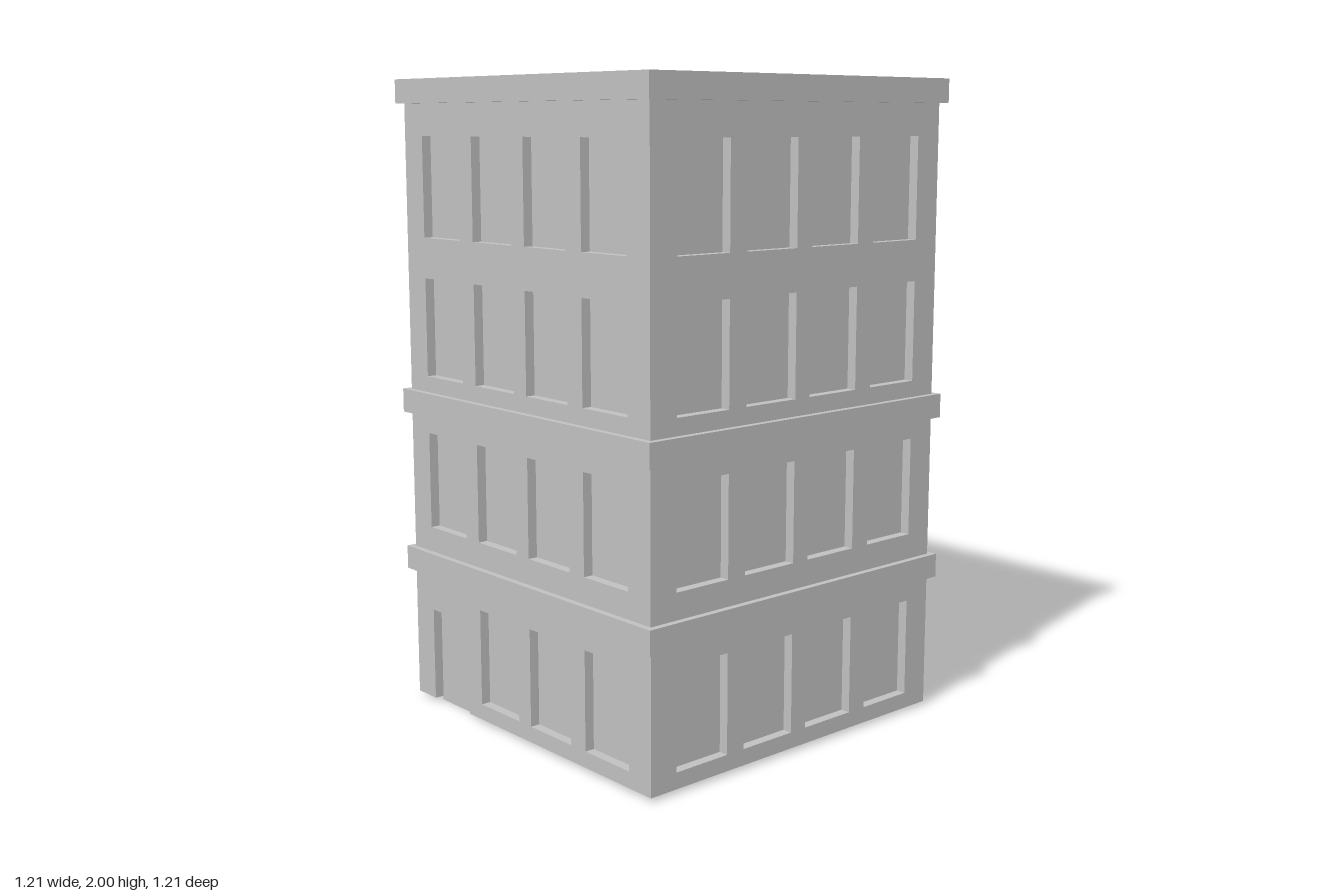
import * as THREE from 'three';

const HALF = 0.585;        // outer wall face
const RECESS = 0.031;      // depth of the window openings
const CORE = HALF - RECESS;
const LEDGE = 0.605;
const BASE = 0.013;        // underside of the walls
const ROOF = 1.957;

const columns = [[-0.49, -0.294], [-0.227, -0.03], [0.03, 0.227], [0.294, 0.49]];
const rows = [[0.063, 0.37], [0.587, 0.894], [1.077, 1.387], [1.514, 1.827]];
const door = { left: -0.49, right: -0.294, top: 0.312 };

function polygon(Type, points) {
  return new Type(points.map(([x, y]) => new THREE.Vector2(x, y)));
}

function rectangle(Type, x0, x1, y0, y1) {
  return polygon(Type, [[x0, y0], [x1, y0], [x1, y1], [x0, y1]]);
}

// Wall slab with window openings; the door opening runs through the bottom edge
function wallGeometry(half, hasDoor) {
  const outline = [[-half, BASE]];
  if (hasDoor) {
    outline.push([door.left, BASE], [door.left, door.top], [door.right, door.top], [door.right, BASE]);
  }
  outline.push([half, BASE], [half, ROOF], [-half, ROOF]);
  const shape = polygon(THREE.Shape, outline);
  rows.forEach(([y0, y1], r) => columns.forEach(([x0, x1], c) => {
    if (hasDoor && r === 0 && c === 0) return;
    shape.holes.push(rectangle(THREE.Path, x0, x1, y0, y1));
  }));
  return new THREE.ExtrudeGeometry(shape, { depth: RECESS, bevelEnabled: false });
}

export function createModel() {
  const model = new THREE.Group();
  model.name = 'building';
  const stone = new THREE.MeshStandardMaterial({ color: 0xc0c0c0 });
  stone.name = 'grey stone';

  function add(name, geometry, x = 0, y = 0, z = 0) {
    const mesh = new THREE.Mesh(geometry, stone);
    mesh.name = name;
    mesh.position.set(x, y, z);
    model.add(mesh);
    return mesh;
  }

  // Inner block: recessed window panes, roof and underside
  add('core', new THREE.BoxGeometry(CORE * 2, ROOF - BASE, CORE * 2), 0, (ROOF + BASE) / 2, 0);

  // Four walls; the side walls fit between the front and back ones
  ['frontWall', 'leftWall', 'backWall', 'rightWall'].forEach((name, i) => {
    const angle = i * Math.PI / 2;
    const wall = add(name, wallGeometry(i % 2 ? CORE : HALF, i === 0),
      Math.sin(angle) * CORE, 0, Math.cos(angle) * CORE);
    wall.rotation.y = angle;
  });

  // Door panel reaching down to the ground
  add('door', new THREE.BoxGeometry(door.right - door.left, door.top, 0.086),
    (door.left + door.right) / 2, door.top / 2, 0.512);

  // Ledges between storeys
  [['lowerLedge', 0.432, 0.507], ['upperLedge', 0.951, 1.026]].forEach(([name, y0, y1]) => {
    add(name, new THREE.BoxGeometry(LEDGE * 2, y1 - y0, LEDGE * 2), 0, (y0 + y1) / 2, 0);
  });

  // Parapet ring around the roof
  const ring = rectangle(THREE.Shape, -LEDGE, LEDGE, -LEDGE, LEDGE);
  ring.holes.push(rectangle(THREE.Path, -0.562, 0.562, -0.562, 0.562));
  const parapet = add('parapet', new THREE.ExtrudeGeometry(ring, { depth: 0.074, bevelEnabled: false }), 0, 1.926, 0);
  parapet.rotation.x = -Math.PI / 2;

  // Roof deck closing the parapet ring
  add('roofDeck', new THREE.BoxGeometry(1.13, 0.02, 1.13), 0, ROOF - 0.008, 0);

  return model;
}
